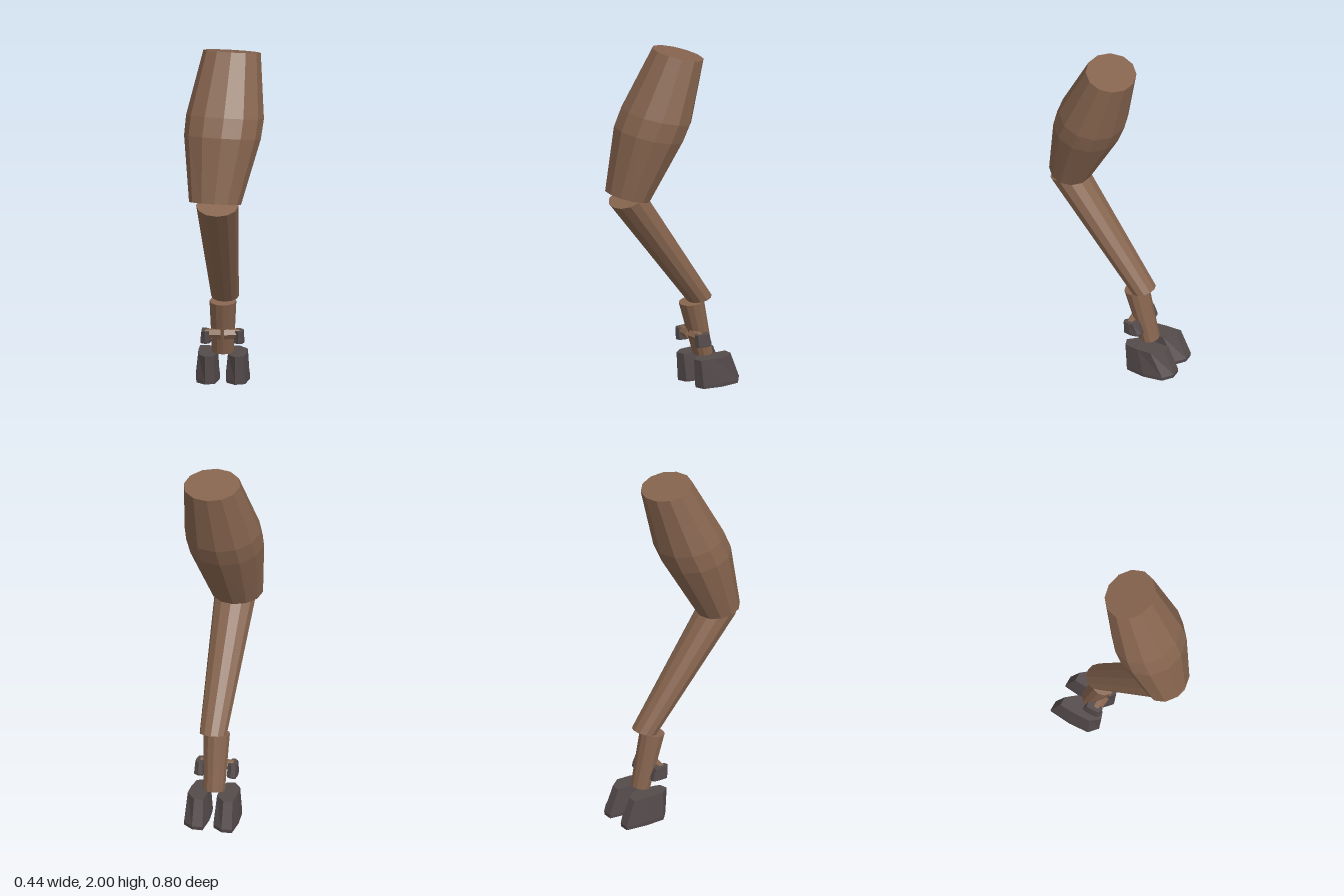
import * as THREE from 'three';

const brown = new THREE.MeshStandardMaterial({ name: 'brownHide', color: 0x87654f, flatShading: true });
const grey = new THREE.MeshStandardMaterial({ name: 'greyHoof', color: 0x544a4b, flatShading: true });

// Closed solid through rings of points listed from top to bottom
function loft(rings) {
  const pos = [];
  const tri = (...pts) => pts.forEach((p) => pos.push(p.x, p.y, p.z));
  const centre = (ring) =>
    ring.reduce((s, p) => s.add(p), new THREE.Vector3()).divideScalar(ring.length);
  const n = rings[0].length;
  const first = rings[0], last = rings[rings.length - 1];
  const c0 = centre(first), c1 = centre(last);
  for (let i = 0; i < n; i++) {
    const j = (i + 1) % n;
    for (let k = 0; k < rings.length - 1; k++) {
      const a = rings[k], b = rings[k + 1];
      tri(a[i], a[j], b[i]);
      tri(a[j], b[j], b[i]);
    }
    tri(c0, first[j], first[i]);
    tri(c1, last[i], last[j]);
  }
  const g = new THREE.BufferGeometry();
  g.setAttribute('position', new THREE.Float32BufferAttribute(pos, 3));
  g.computeVertexNormals();
  return g;
}

// Tilted ellipse; tiltZ and tiltX are its rise per unit along z and x
function ring(cx, cy, cz, rx, rz, tiltZ, tiltX = 0, sides = 12) {
  return Array.from({ length: sides }, (_, i) => {
    const a = (i / sides) * Math.PI * 2;
    const dx = rx * Math.cos(a), dz = rz * Math.sin(a);
    return new THREE.Vector3(cx + dx, cy + tiltZ * dz + tiltX * dx, cz + dz);
  });
}

// Hoof outlines (x, z), centred on the hoof
const hoofTop = [[-0.047, -0.088], [0.005, -0.088], [0.055, -0.026], [0.053, 0.055],
  [0.037, 0.136], [-0.012, 0.15], [-0.05, 0.1], [-0.053, 0.005]];
const hoofBase = [[-0.055, -0.146], [0.005, -0.146], [0.06, -0.1], [0.069, 0.012],
  [0.045, 0.124], [-0.012, 0.142], [-0.062, 0.097], [-0.068, -0.02]];

function hoofGeometry() {
  const level = (outline, y, s = 1) => outline.map(([x, z]) => new THREE.Vector3(x * s, y, z * s));
  return loft([level(hoofTop, 0.164), level(hoofBase, 0.02), level(hoofBase, 0, 0.985)]);
}

export function createModel() {
  const model = new THREE.Group();
  model.name = 'hoofedLeg';
  const add = (name, geometry, material) => {
    const mesh = new THREE.Mesh(geometry, material);
    mesh.name = name;
    model.add(mesh);
    return mesh;
  };

  // Leg segments
  add('thigh', loft([
    ring(0.04, 1.968, -0.005, 0.16, 0.1375, 0.23, -0.05),
    ring(0.005, 1.624, 0.119, 0.217, 0.188, 0.23, -0.05),
    ring(-0.008, 1.518, 0.161, 0.214, 0.187, 0.23, -0.05),
    ring(-0.045, 1.167, 0.28, 0.145, 0.117, 0.23, -0.05),
  ]), brown);
  add('shin', loft([
    ring(-0.032, 1.16, 0.296, 0.118, 0.09, -0.45),
    ring(-0.006, 0.499, -0.183, 0.077, 0.067, -0.24),
  ]), brown);
  add('ankle', loft([
    ring(-0.016, 0.483, -0.137, 0.075, 0.068, -0.15),
    ring(-0.019, 0.168, -0.217, 0.061, 0.053, -0.1),
  ]), brown);

  // Two toes, each with a small claw on a stub above it
  const hoof = hoofGeometry();
  [-1, 1].forEach((side) => {
    const label = side > 0 ? 'left' : 'right';
    add(label + 'Hoof', hoof, grey).position.set(-0.0205 + side * 0.0835, 0, -0.257);

    const claw = add(label + 'Dewclaw', hoof, grey);
    claw.scale.set(0.45, 0.43, 0.37);
    claw.position.set(-0.019 + side * 0.093, 0.24, -0.156);

    const stub = add(label + 'DewclawStub', new THREE.CylinderGeometry(0.026, 0.034, 0.085, 6), brown);
    stub.rotation.z = -side * Math.PI / 2;
    stub.position.set(-0.019 + side * 0.053, 0.291, -0.138);
  });
  return model;
}
